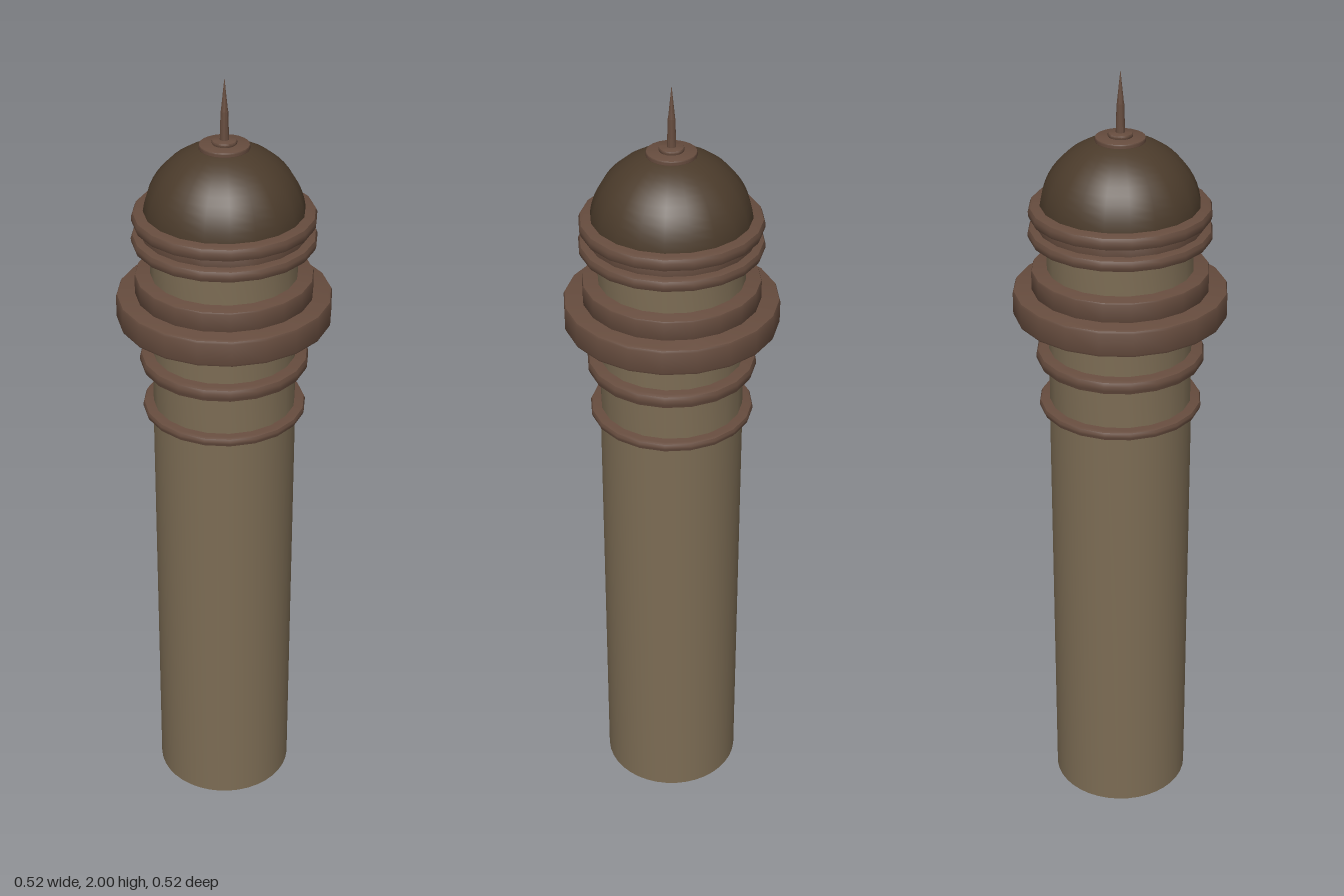
import * as THREE from 'three';
import { toCreasedNormals } from 'three/addons/utils/BufferGeometryUtils.js';

const material = (color) => new THREE.MeshStandardMaterial({ color });

export function createModel() {
  const tower = new THREE.Group();
  tower.name = 'tower';
  const stone = material(0x7c6c54);
  const trim = material(0x664c3e);
  const roof = material(0x4b3b2b);

  // Turned part from a [radius, height] profile, listed bottom to top
  function turned(name, profile, mat, sides = 20) {
    const points = profile.map(([r, y]) => new THREE.Vector2(r, y));
    const geometry = toCreasedNormals(new THREE.LatheGeometry(points, sides), 0.6);
    const mesh = new THREE.Mesh(geometry, mat);
    mesh.name = name;
    tower.add(mesh);
  }

  // Closed disc with softened outer edges
  function band(name, radius, y0, y1, bevel, mat = trim, sides = 20) {
    turned(name, [
      [0, y0], [radius - bevel, y0], [radius - bevel * 0.3, y0 + bevel * 0.3],
      [radius, y0 + bevel], [radius, y1 - bevel],
      [radius - bevel * 0.3, y1 - bevel * 0.3], [radius - bevel, y1], [0, y1],
    ], mat, sides);
  }

  // Main shaft and the slightly narrower neck and drum above it
  turned('shaft', [[0, 0], [0.178, 0], [0.178, 1.15], [0, 1.15]], stone, 40);
  turned('neck', [[0, 1.14], [0.177, 1.14], [0.177, 1.41], [0, 1.41]], stone);
  turned('drum', [[0, 1.5], [0.178, 1.5], [0.178, 1.61], [0, 1.61]], stone);

  // Mouldings around the neck
  band('lowerRing', 0.203, 1.141, 1.165, 0.009);
  band('upperRing', 0.208, 1.268, 1.304, 0.012);

  // Projecting gallery with a stepped parapet
  band('gallery', 0.262, 1.396, 1.465, 0.008);
  band('parapet', 0.216, 1.46, 1.515, 0.005);

  // Double cornice under the dome
  band('lowerCornice', 0.222, 1.591, 1.623, 0.012);
  band('corniceCore', 0.2, 1.61, 1.655, 0.003);
  band('upperCornice', 0.22, 1.643, 1.678, 0.012);

  // Dome
  const dome = [];
  for (let i = 0; i <= 14; i++) {
    const a = (i / 14) * Math.PI / 2;
    dome.push([0.193 * Math.cos(a), 1.66 + 0.18 * Math.sin(a)]);
  }
  dome[14][0] = 0;
  turned('dome', dome, roof);

  // Finial: stepped base, slim rod and pointed tip
  band('finialBase', 0.06, 1.828, 1.842, 0.004, trim, 24);
  band('finialCollar', 0.03, 1.84, 1.852, 0.005, trim, 20);
  turned('finialRod', [[0.011, 1.85], [0.009, 1.92], [0, 1.92]], trim, 12);
  turned('finialTip', [[0, 1.915], [0.009, 1.915], [0, 2]], trim, 12);

  return tower;
}
